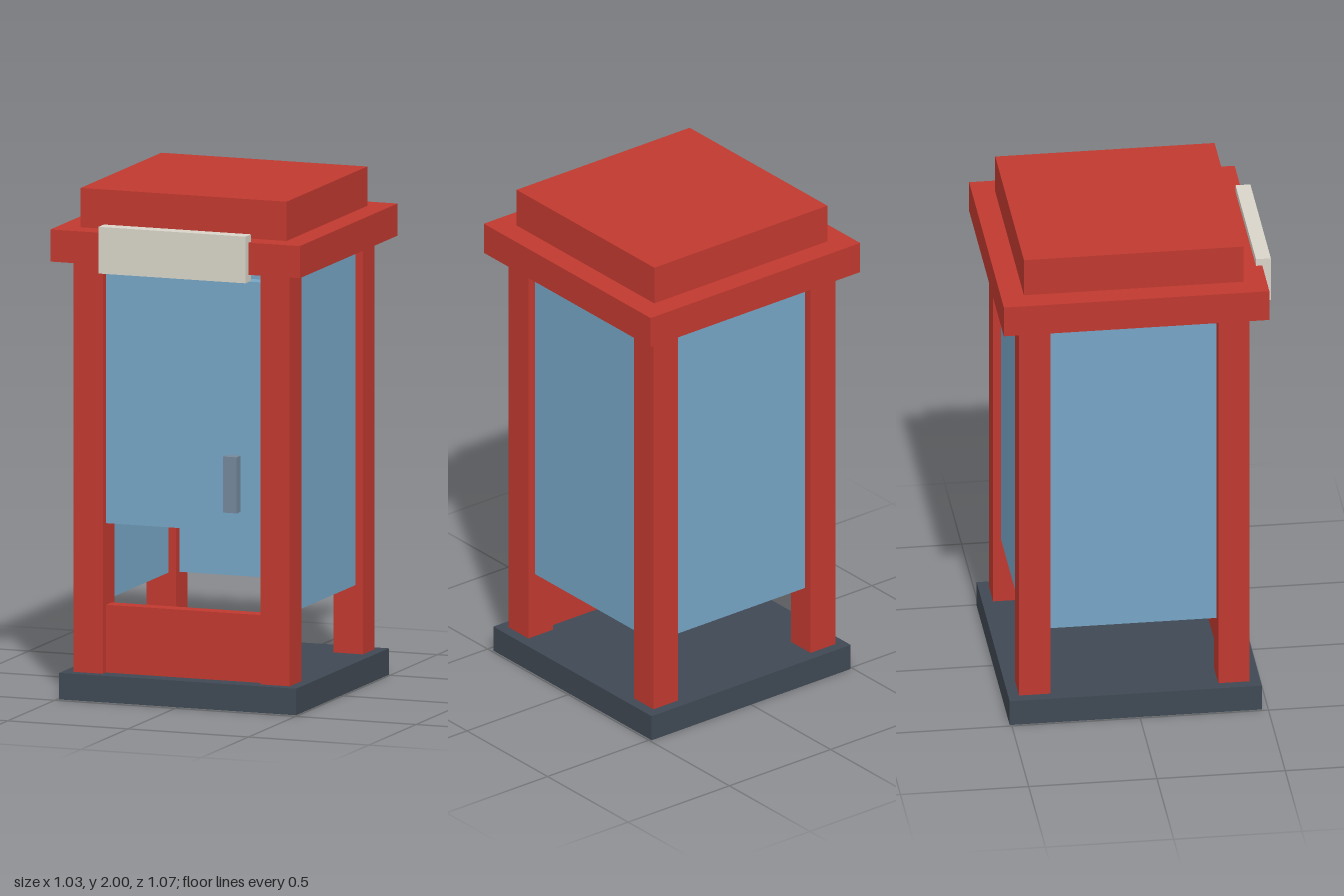
import * as THREE from 'three';

const paint = (color) => new THREE.MeshStandardMaterial({ color });

export function createModel() {
  const booth = new THREE.Group();
  booth.name = 'booth';
  const red = paint(0xc0392f), glass = paint(0x76a5c5), slate = paint(0x3f4853);
  const cream = paint(0xd8d4c9), steel = paint(0x74879a);
  const midZ = -0.016; // centre of the cabin, set back to leave room for the sign

  // Box from its width, depth, bottom and top heights and centre
  function box(name, material, w, d, y0, y1, x = 0, z = midZ) {
    const mesh = new THREE.Mesh(new THREE.BoxGeometry(w, y1 - y0, d), material);
    mesh.name = name;
    mesh.position.set(x, (y0 + y1) / 2, z);
    booth.add(mesh);
  }

  // Base and stepped roof
  box('base', slate, 0.983, 0.983, 0, 0.104);
  box('roofSlab', red, 1.035, 1.035, 1.72, 1.846);
  box('roofCap', red, 0.855, 0.855, 1.846, 2);

  // Corner posts and side panes
  const postOffset = 0.388, thick = 0.06;
  for (const sx of [-1, 1]) {
    for (const sz of [-1, 1]) {
      box('cornerPost', red, 0.122, 0.122, 0.104, 1.72, sx * postOffset, midZ + sz * postOffset);
    }
    box('sidePane', glass, thick, 0.65, 0.374, 1.695, sx * postOffset);
  }

  // Back pane, front pane and lower front panel
  box('backPane', glass, 0.65, thick, 0.374, 1.695, 0, midZ - postOffset);
  box('doorPane', glass, 0.65, thick, 0.69, 1.675, 0, midZ + postOffset);
  box('doorPanel', red, 0.65, thick, 0.104, 0.37, 0, midZ + postOffset);

  // Door handle and sign board
  box('doorHandle', steel, 0.058, 0.045, 0.77, 0.99, 0.204, 0.421);
  box('signBoard', cream, 0.61, 0.058, 1.692, 1.875, 0, 0.506);

  return booth;
}
